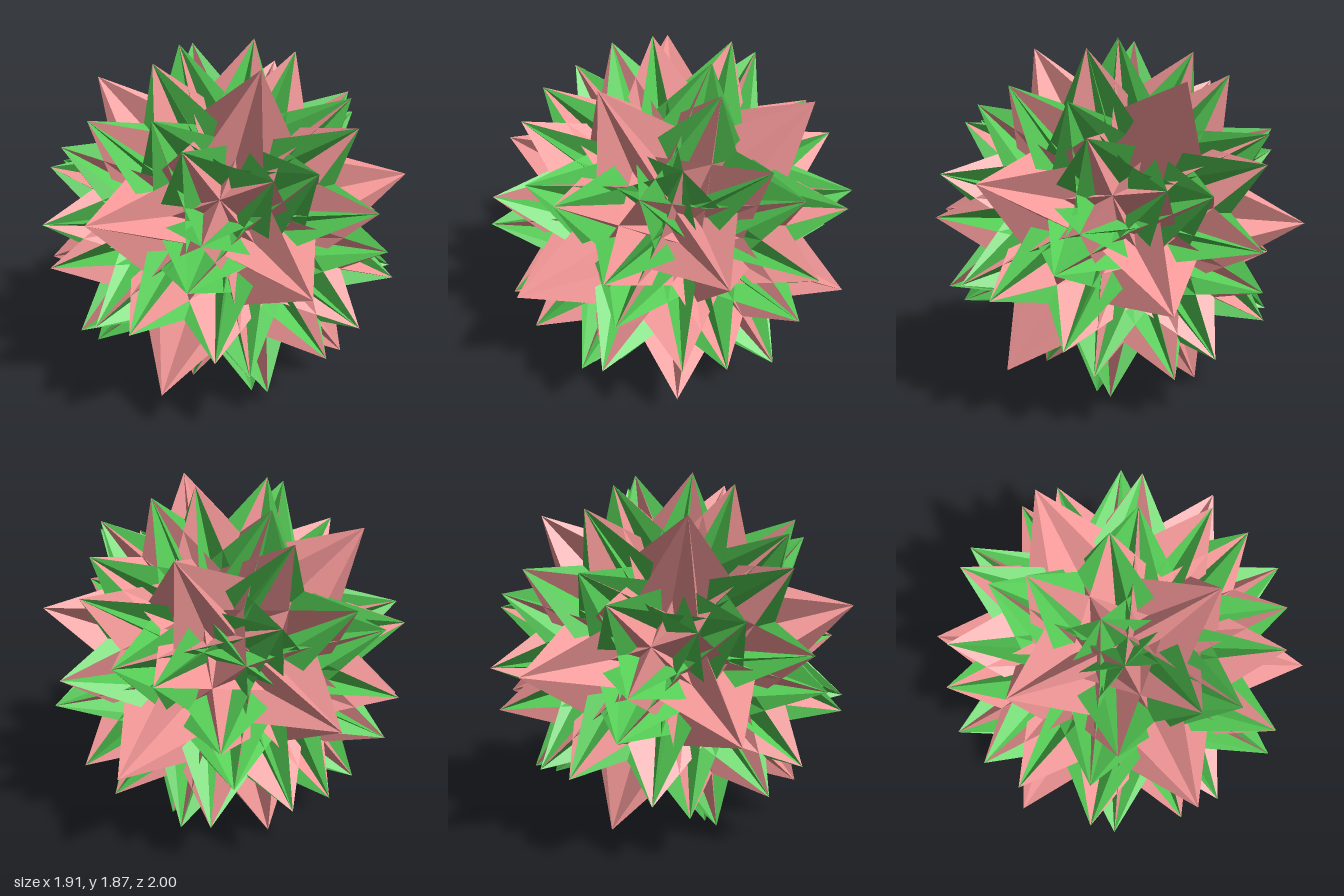
import * as THREE from 'three';

// Proportions for an edge length of 1
const R = 0.580694800133921;               // circumradius of the 60 small tips
const STAR_R = 0.5 / Math.sin(0.4 * Math.PI); // circumradius of a pentagram
const STAR_D = Math.sqrt(R * R - STAR_R * STAR_R); // its distance from the centre
const APEX = Math.sqrt(1 - STAR_R * STAR_R) - STAR_D; // big tip distance from the centre
const SCALE = 1 / APEX;

// Twelve five-fold axes, one of them along +z
function fiveFoldAxes() {
  const axes = [];
  for (const s of [1, -1]) {
    axes.push(new THREE.Vector3(0, 0, s));
    for (let i = 0; i < 5; i++) {
      const a = Math.PI / 2 + i * 0.4 * Math.PI;
      axes.push(new THREE.Vector3(2 * Math.cos(a), 2 * Math.sin(a), 1).multiplyScalar(s / Math.sqrt(5)));
    }
  }
  return axes;
}

// The five corners of the pentagram lying across an axis
function starCorners(axis, axes) {
  return axes
    .filter((n) => Math.abs(n.dot(axis) - 1 / Math.sqrt(5)) < 0.01)
    .map((n) => axis.clone().multiplyScalar(STAR_D + STAR_R / 2)
      .addScaledVector(n, -STAR_R * Math.sqrt(5) / 2));
}

const isEdge = (a, b) => Math.abs(a.distanceTo(b) - 1) < 1e-3;

// Flat triangles, wound to face away from the centre
function triangleMesh(name, triangles, material) {
  const points = [];
  for (const [a, b, c] of triangles) {
    const n = b.clone().sub(a).cross(c.clone().sub(a));
    points.push(...(n.dot(a) < 0 ? [a, c, b] : [a, b, c]));
  }
  const geometry = new THREE.BufferGeometry().setFromPoints(points);
  geometry.scale(SCALE, SCALE, SCALE);
  geometry.computeVertexNormals();
  const mesh = new THREE.Mesh(geometry, material);
  mesh.name = name;
  return mesh;
}

export function createModel() {
  const model = new THREE.Group();
  model.name = 'spikedStarPolyhedron';
  const paint = (color) => new THREE.MeshStandardMaterial({ color, flatShading: true, side: THREE.DoubleSide });
  const green = paint(0x55cc55);
  const pink = paint(0xf29696);

  const axes = fiveFoldAxes();
  const corners = axes.flatMap((axis) => starCorners(axis, axes));

  // Green body: every equilateral triangle that joins three small tips
  const triangles = [];
  corners.forEach((a, i) => {
    const linked = corners.slice(i + 1).filter((p) => isEdge(a, p));
    linked.forEach((b, j) => {
      for (const c of linked.slice(j + 1)) if (isEdge(b, c)) triangles.push([a, b, c]);
    });
  });
  model.add(triangleMesh('snubTriangles', triangles, green));

  // Pink pentagram pyramids: each rises from the far star through the centre
  const pyramids = new THREE.Group();
  pyramids.name = 'starPyramids';
  for (const axis of axes) {
    const apex = axis.clone().multiplyScalar(APEX);
    const base = starCorners(axis.clone().negate(), axes);
    const sides = [];
    base.forEach((a, i) => {
      for (const b of base.slice(i + 1)) if (isEdge(a, b)) sides.push([apex, a, b]);
    });
    pyramids.add(triangleMesh('starPyramid', sides, pink));
  }
  model.add(pyramids);

  // Stand on the lowest tips
  model.position.y = -SCALE * Math.min(...corners.map((p) => p.y));
  return model;
}
